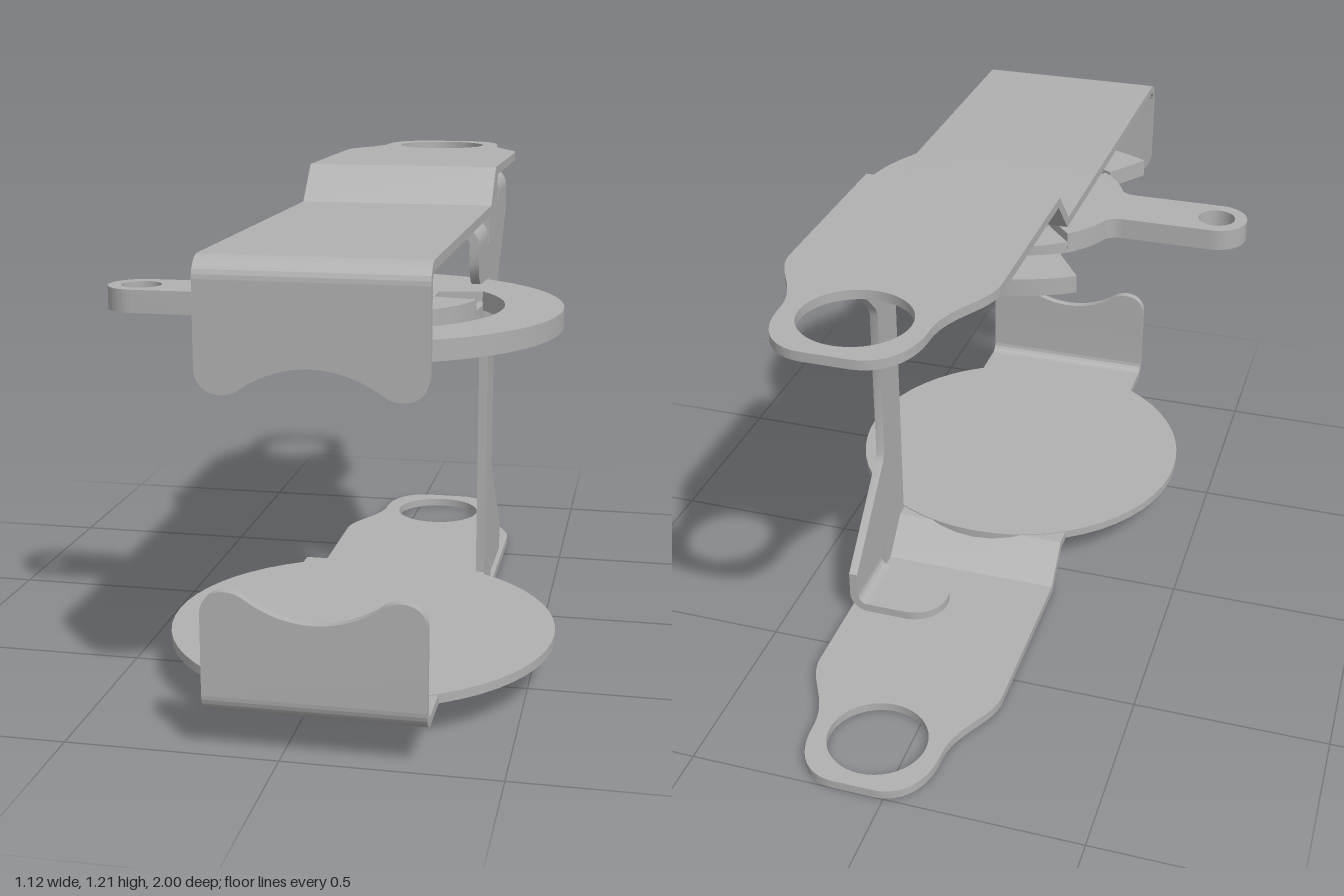
import * as THREE from 'three';
import { toCreasedNormals } from 'three/addons/utils/BufferGeometryUtils.js';

const T = 0.023;       // sheet thickness
const HALF = 0.2525;   // half width of the straps
const CX = 0.0775;     // centre line of the straps
const TOP = 1.21;

export function createModel() {
  const steel = new THREE.MeshStandardMaterial({ color: 0xb0b0b0 });
  steel.name = 'grey steel';
  const model = new THREE.Group();
  model.name = 'bracket';

  const add = (parent, name, geometry, x = 0, y = 0, z = 0) => {
    const mesh = new THREE.Mesh(geometry, steel);
    mesh.name = name;
    mesh.position.set(x, y, z);
    parent.add(mesh);
    return mesh;
  };
  const extrude = (shape, depth) => new THREE.ExtrudeGeometry(shape, { depth, bevelEnabled: false, curveSegments: 28 });
  const smooth = (g) => toCreasedNormals(g, 0.6);
  // upright sheet facing front, shape in (x, y)
  const front = (shape, depth) => smooth(extrude(shape, depth));
  // horizontal sheet, shape in (x, -z), thickness upward
  const flat = (shape, depth) => smooth(extrude(shape, depth).rotateX(-Math.PI / 2));
  // profile in (z, y), thickness towards -x
  const side = (shape, depth) => smooth(extrude(shape, depth).rotateY(-Math.PI / 2));
  const hole = (shape, x, y, r) => {
    const p = new THREE.Path();
    p.absarc(x, y, r, 0, Math.PI * 2, true);
    shape.holes.push(p);
  };
  const polygon = (pts) => new THREE.Shape(pts.map(([x, y]) => new THREE.Vector2(x, y)));

  // Strap: stepped sheet with a lip in front and a pierced tang behind
  function strap(name) {
    const g = new THREE.Group();
    g.name = name;
    const s = new THREE.Shape();
    s.moveTo(-0.3, 1.21);
    s.lineTo(-0.3, 1.187);
    s.lineTo(-0.12, 1.187);
    s.lineTo(-0.03, 1.095);
    s.lineTo(0.95, 1.095);
    s.absarc(0.95, 1.068, 0.028, Math.PI / 2, 0, true);
    s.lineTo(0.978, 0.92);
    s.lineTo(1, 0.92);
    s.lineTo(1, 1.068);
    s.absarc(0.95, 1.068, 0.05, 0, Math.PI / 2, false);
    s.lineTo(-0.02, 1.118);
    s.lineTo(-0.11, 1.21);
    add(g, 'bentSheet', side(s, HALF * 2), HALF);

    const lip = new THREE.Shape();
    lip.moveTo(-HALF, 0.92);
    lip.lineTo(-HALF, 0.88);
    lip.bezierCurveTo(-HALF, 0.83, -0.2, 0.81, -0.157, 0.835);
    lip.bezierCurveTo(-0.06, 0.905, 0.06, 0.905, 0.157, 0.835);
    lip.bezierCurveTo(0.2, 0.81, HALF, 0.83, HALF, 0.88);
    lip.lineTo(HALF, 0.92);
    add(g, 'lip', front(lip, 0.022), 0, 0, 0.978);

    const tang = new THREE.Shape();
    tang.moveTo(-HALF, 0.3);
    tang.lineTo(HALF, 0.3);
    tang.lineTo(HALF, 0.59);
    tang.bezierCurveTo(HALF, 0.68, 0.17, 0.73, 0.17, 0.84);
    tang.bezierCurveTo(0.17, 0.93, 0.13, 1, 0.05, 1);
    tang.lineTo(-0.05, 1);
    tang.bezierCurveTo(-0.13, 1, -0.17, 0.93, -0.17, 0.84);
    tang.bezierCurveTo(-0.17, 0.73, -HALF, 0.68, -HALF, 0.59);
    hole(tang, 0, 0.83, 0.127);
    add(g, 'tang', flat(tang, T), 0, 1.187);
    g.position.x = CX;
    model.add(g);
    return g;
  }
  strap('upperStrap');
  const lower = strap('lowerStrap');
  lower.rotation.z = Math.PI;
  lower.position.y = TOP;

  // Round table on the lower strap
  const table = new THREE.Shape();
  table.absarc(0, 0, 0.48, 0, Math.PI * 2);
  add(model, 'roundTable', flat(table, T), CX, 0.0945, 0.43);

  // Upright joining both straps, profile in (z, y), with relief notches
  const post = polygon([
    [0, 0.1], [-0.11, T], [-0.155, T], [-0.155, 0.09], [-0.187, 0.09], [-0.187, 0.073],
    [-0.37, 0.073], [-0.37, 0.14], [-0.145, 0.365], [-0.133, 0.39],
    [-0.133, 0.82], [-0.145, 0.845], [-0.37, 1.07], [-0.37, 1.137], [-0.187, 1.137],
    [-0.187, 1.12], [-0.155, 1.12], [-0.155, 1.187], [-0.11, 1.187], [-0.02, 1.095], [0.015, 1.095],
    [0.015, 1.03], [0.045, 1.03], [0.045, 1.045], [0.23, 1.045],
    [0.23, 1.0], [0.218, 0.967], [0.195, 0.947], [0.165, 0.94], [0, 0.935],
  ]);
  add(model, 'upright', side(post, T), 0.33);

  // Mounting tabs: bend plus rounded flange lying against a strap
  function mountingTab(name, y, up, z0, z1) {
    const w = z1 - z0, r = 0.05, q = Math.PI / 2;
    const bend = new THREE.Shape();
    bend.absarc(0, 0, r, up ? 0 : -q, up ? q : 0, false);
    bend.absarc(0, 0, r - T, up ? q : 0, up ? 0 : -q, true);
    add(model, name + 'Bend', front(bend, w), 0.28, up ? y - r : y + r, z0);
    const f = new THREE.Shape();
    f.moveTo(0.28, -z1);
    f.lineTo(0.28, -z0);
    f.lineTo(0.08 + w / 2, -z0);
    f.absarc(0.08 + w / 2, -(z0 + z1) / 2, w / 2, q, 3 * q, false);
    add(model, name + 'Flange', flat(f, T), 0, up ? y - T : y);
  }
  mountingTab('lowerRearTab', T, false, -0.37, -0.187);
  mountingTab('upperRearTab', 1.187, true, -0.37, -0.187);
  mountingTab('upperFrontTab', 1.095, true, 0.045, 0.23);

  // Open guide ring
  const sector = (r0, r1, a0, a1) => {
    const s = new THREE.Shape();
    s.absarc(0, 0, r1, a0, a1, false);
    s.absarc(0, 0, r0, a1, a0, true);
    return s;
  };
  add(model, 'guideRing', flat(sector(0.34, 0.48, -2.155, 2.155), 0.048), CX, 0.882, 0.43);

  // Rotor: pierced disc, hub, raised segments and lever
  const rotor = new THREE.Group();
  rotor.name = 'rotor';
  rotor.position.set(CX, 0.9, 0.43);
  model.add(rotor);
  const disc = new THREE.Shape();
  disc.absarc(0, 0, 0.287, 0, Math.PI * 2);
  hole(disc, 0, 0, 0.127);
  add(rotor, 'rotorDisc', flat(disc, 0.032));
  const hub = new THREE.Shape();
  hub.absarc(0, 0, 0.18, 0, Math.PI * 2);
  hole(hub, 0, 0, 0.127);
  add(rotor, 'hub', flat(hub, 0.057));
  for (let i = 0; i < 6; i++) {
    const a = i * Math.PI / 3;
    add(rotor, 'segment', flat(sector(0.178, 0.287, a + 0.2, a + Math.PI / 3 - 0.2), 0.057));
  }
  const lever = new THREE.Shape();
  lever.moveTo(-0.17, 0.05);
  lever.lineTo(-0.245, 0.145);
  lever.quadraticCurveTo(-0.265, 0.083, -0.31, 0.083);
  lever.lineTo(-0.557, 0.083);
  lever.absarc(-0.557, 0, 0.083, Math.PI / 2, 3 * Math.PI / 2, false);
  lever.lineTo(-0.31, -0.083);
  lever.quadraticCurveTo(-0.265, -0.083, -0.245, -0.145);
  lever.lineTo(-0.17, -0.05);
  hole(lever, -0.557, 0, 0.05);
  add(rotor, 'lever', flat(lever, 0.057));

  return model;
}
